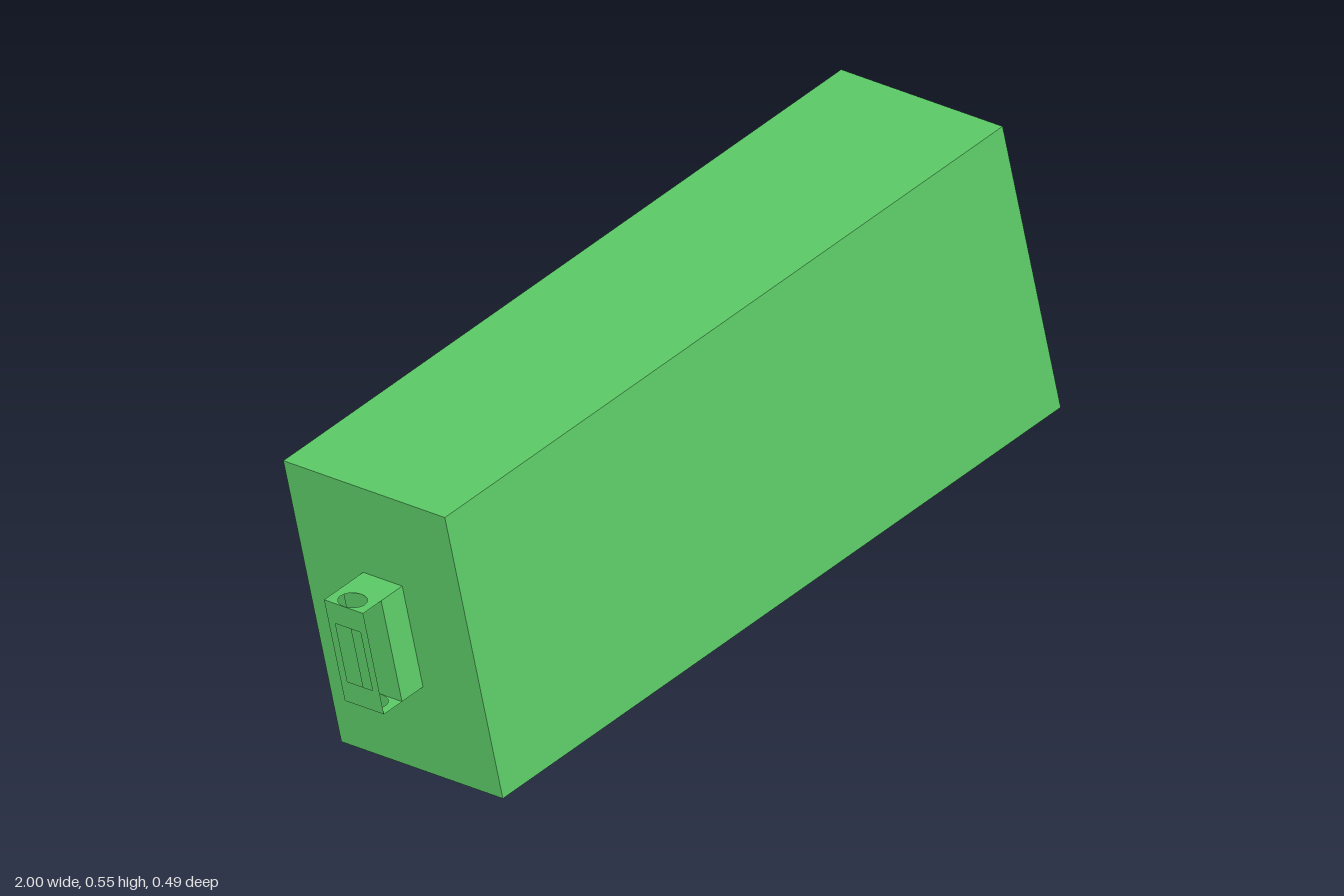
import * as THREE from 'three';

const HX = 0.877, HY = 0.273, HZ = 0.18; // half size of the housing
const SLANT = 0.237;                     // backward lean, z per unit of y

const green = new THREE.MeshStandardMaterial({ color: 0x5ac865 });
const greenSheet = new THREE.MeshStandardMaterial({ color: 0x5ac865, side: THREE.DoubleSide });
const pink = new THREE.MeshStandardMaterial({ color: 0xd27a99, side: THREE.DoubleSide });

// Leans a geometry back around y = 0
function lean(geo) {
  const p = geo.attributes.position;
  for (let i = 0; i < p.count; i++) p.setZ(i, p.getZ(i) - SLANT * p.getY(i));
  geo.computeVertexNormals();
  return geo;
}

function part(name, geo, mat) {
  const mesh = new THREE.Mesh(lean(geo), mat);
  mesh.name = name;
  return mesh;
}

// Skins a series of rectangles [halfX, halfY, z] and closes both ends
function loft(rects) {
  const loops = rects.map(([x, y, z]) => [[-x, -y, z], [x, -y, z], [x, y, z], [-x, y, z]]);
  const out = [];
  const tri = (...pts) => pts.forEach((q) => out.push(...q));
  const first = loops[0], last = loops[loops.length - 1];
  tri(first[0], first[1], first[2]);
  tri(first[0], first[2], first[3]);
  for (let k = 0; k + 1 < loops.length; k++) {
    const a = loops[k], b = loops[k + 1];
    for (let i = 0; i < 4; i++) {
      const j = (i + 1) % 4;
      tri(a[i], b[i], b[j]);
      tri(a[i], b[j], a[j]);
    }
  }
  tri(last[0], last[2], last[1]);
  tri(last[0], last[3], last[2]);
  const geo = new THREE.BufferGeometry();
  geo.setAttribute('position', new THREE.Float32BufferAttribute(out, 3));
  return geo;
}

function rectangle(target, hw, hh) {
  target.moveTo(-hw, -hh);
  target.lineTo(hw, -hh);
  target.lineTo(hw, hh);
  target.lineTo(-hw, hh);
  target.closePath();
  return target;
}

// Side bracket: solid block plus an open clip of thin pierced plates
function bracket(side) {
  const g = new THREE.Group();
  g.name = side > 0 ? 'leftBracket' : 'rightBracket';
  const halfY = 0.098, halfZ = 0.0435, mid = 0.943, end = 1;

  const block = new THREE.BoxGeometry(mid - HX, halfY * 2, halfZ * 2);
  block.translate(side * (mid + HX) / 2, 0, 0);
  g.add(part('bracketBlock', block, green));

  // End plate with a rectangular window
  const endShape = rectangle(new THREE.Shape(), halfZ, halfY);
  endShape.holes.push(rectangle(new THREE.Path(), 0.028, 0.0565));
  const endGeo = new THREE.ShapeGeometry(endShape).rotateY(side * Math.PI / 2);
  g.add(part('endPlate', endGeo.translate(side * end, 0, 0), greenSheet));

  // Upper and lower plates with a round hole
  for (const level of [1, -1]) {
    const shape = rectangle(new THREE.Shape(), (end - mid) / 2, halfZ);
    shape.holes.push(new THREE.Path().absarc(0, 0, 0.027, 0, Math.PI * 2, true));
    const geo = new THREE.ShapeGeometry(shape, 16).rotateX(-level * Math.PI / 2);
    geo.translate(side * (mid + end) / 2, level * halfY, 0);
    g.add(part(level > 0 ? 'upperPlate' : 'lowerPlate', geo, greenSheet));
  }
  return g;
}

export function createModel() {
  const model = new THREE.Group();
  model.name = 'slantedHousing';

  // Housing with a deep recess opening at the back
  const inX = HX - 0.084, inY = HY - 0.063, deep = 0.13;
  const housing = loft([[HX, HY, HZ], [HX, HY, -HZ], [inX, inY, -HZ], [inX, inY, deep]]);
  model.add(part('housing', housing, green));

  // Coloured panel under the ceiling of the recess
  const inset = 0.015;
  const panel = new THREE.PlaneGeometry(2 * (inX - inset), HZ + deep - 2 * inset);
  panel.rotateX(Math.PI / 2).translate(0, inY - 0.003, (deep - HZ) / 2);
  model.add(part('ceilingPanel', panel, pink));

  model.add(bracket(1), bracket(-1));
  model.position.y = HY;
  return model;
}
